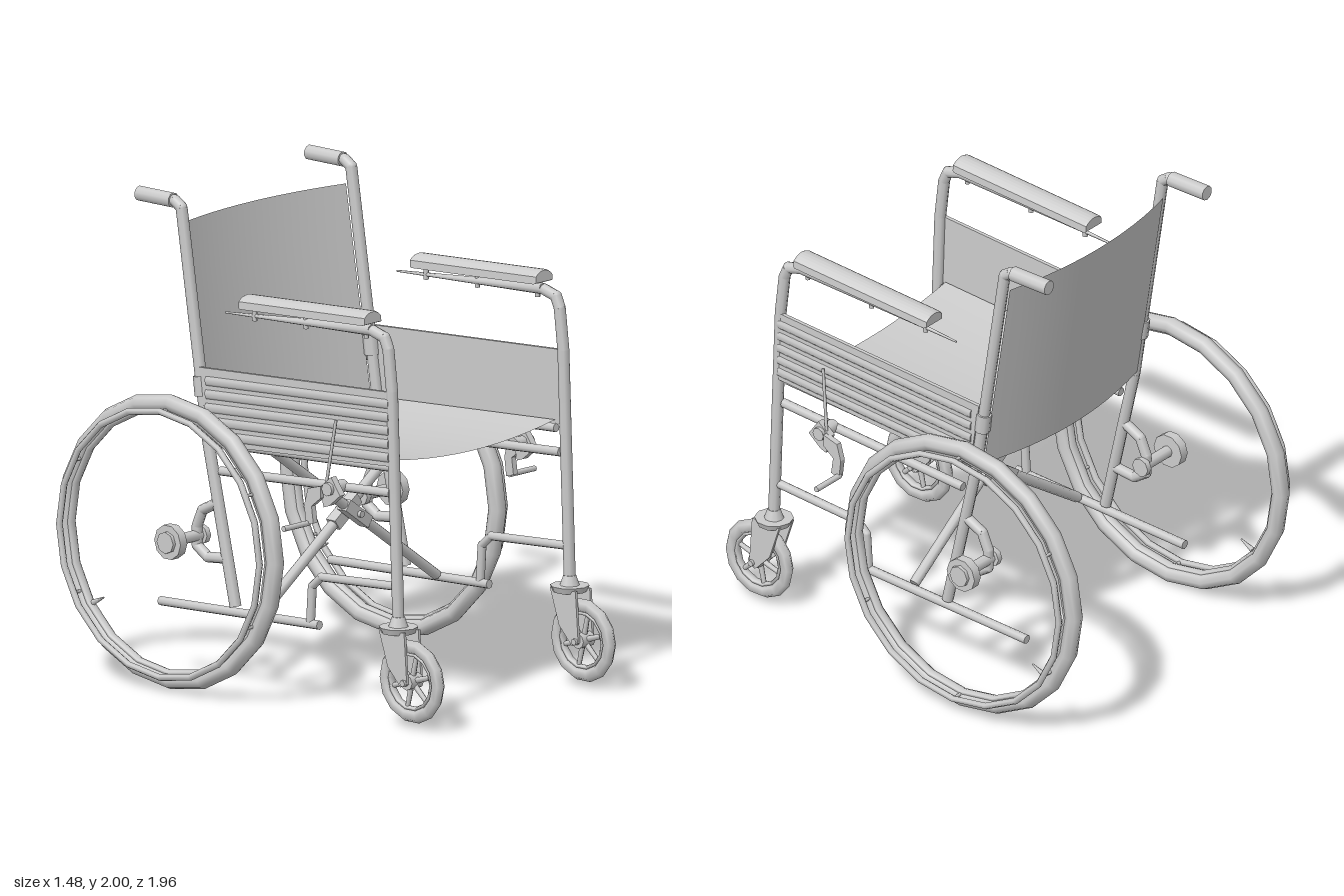
import * as THREE from 'three';

const grey = new THREE.MeshStandardMaterial({ color: 0xcccccc });
const cloth = new THREE.MeshStandardMaterial({ color: 0xcccccc, side: THREE.DoubleSide });
const V = (p) => new THREE.Vector3(...p);

function add(parent, name, geometry, material = grey) {
  const mesh = new THREE.Mesh(geometry, material);
  mesh.name = name;
  parent.add(mesh);
  return mesh;
}

// Round bar between two points
function bar(parent, name, a, b, r, r2 = r, sides = 8) {
  const p = V(a), q = V(b), d = q.clone().sub(p);
  const mesh = add(parent, name, new THREE.CylinderGeometry(r2, r, d.length(), sides));
  mesh.position.copy(p).add(q).multiplyScalar(0.5);
  mesh.quaternion.setFromUnitVectors(new THREE.Vector3(0, 1, 0), d.normalize());
  return mesh;
}

// Bent pipe lying in one side plane: [z, y] points at a fixed x
function pipe(parent, name, x, pts, r) {
  const group = new THREE.Group();
  group.name = name;
  parent.add(group);
  pts.forEach(([z, y], i) => {
    if (i === 0) return;
    bar(group, name + 'Section', [x, pts[i - 1][1], pts[i - 1][0]], [x, y, z], r);
    if (i < pts.length - 1) add(group, name + 'Bend', new THREE.SphereGeometry(r, 8, 6)).position.set(x, y, z);
  });
  return group;
}

// Flat plate cut from a [z, y] outline, centred on x
function plate(parent, name, x, t, outline) {
  const shape = new THREE.Shape(outline.map(([z, y]) => new THREE.Vector2(z, y)));
  const geo = new THREE.ExtrudeGeometry(shape, { depth: t, bevelEnabled: false });
  geo.rotateY(-Math.PI / 2).translate(x + t / 2, 0, 0);
  return add(parent, name, geo);
}

// Wheel ring around the x axis
function ring(parent, name, x, y, z, R, r, sides, segs, width = 1) {
  const geo = new THREE.TorusGeometry(R, r, sides, segs).scale(1, 1, width).rotateY(Math.PI / 2);
  add(parent, name, geo).position.set(x, y, z);
}

// Cloth sheet whose points follow a rule of u, v in 0..1
function sheet(parent, name, rule) {
  const geo = new THREE.PlaneGeometry(1, 1, 12, 4);
  const pos = geo.attributes.position;
  for (let i = 0; i < pos.count; i++) pos.setXYZ(i, ...rule(pos.getX(i) + 0.5, pos.getY(i) + 0.5));
  geo.computeVertexNormals();
  add(parent, name, geo, cloth);
}

function rearWheel(parent, s) {
  const g = new THREE.Group();
  g.name = 'rearWheel';
  parent.add(g);
  const y = 0.61, z = -0.37;
  ring(g, 'tyre', s * 0.655, y, z, 0.57, 0.036, 8, 20);
  ring(g, 'rim', s * 0.66, y, z, 0.54, 0.014, 6, 20, 1.5);
  ring(g, 'pushRim', s * 0.722, y, z, 0.547, 0.014, 6, 20);
  // Spacers between the rim and the push rim
  for (let i = 0; i < 6; i++) {
    const a = (i + 0.5) * Math.PI / 3, c = Math.cos(a) * 0.545, d = Math.sin(a) * 0.545;
    bar(g, 'spacer', [s * 0.66, y + d, z + c], [s * 0.722, y + d, z + c], 0.007, 0.007, 6);
  }
  bar(g, 'valve', [s * 0.66, 0.295, -0.79], [s * 0.66, 0.325, -0.73], 0.012, 0.003, 6);
  // Hub and axle
  bar(g, 'axle', [s * 0.47, y, z], [s * 0.69, y, z], 0.024);
  bar(g, 'hubFlange', [s * 0.635, y, z], [s * 0.675, y, z], 0.072, 0.072, 10);
  bar(g, 'hubCap', [s * 0.675, y, z], [s * 0.69, y, z], 0.045, 0.045, 8);
  bar(g, 'axleNut', [s * 0.46, y, z], [s * 0.485, y, z], 0.04, 0.04, 8);
}

function caster(parent, s) {
  const g = new THREE.Group();
  g.name = 'caster';
  parent.add(g);
  const x = s * 0.505, y = 0.195, z = 0.81;
  ring(g, 'casterTyre', x, y, z, 0.142, 0.03, 6, 14, 0.85);
  ring(g, 'casterRim', x, y, z, 0.113, 0.009, 6, 14, 2);
  bar(g, 'casterHub', [x - 0.035, y, z], [x + 0.035, y, z], 0.032);
  bar(g, 'casterAxle', [x - 0.06, y, z], [x + 0.06, y, z], 0.014, 0.014, 6);
  for (let i = 0; i < 6; i++) {
    const a = i * Math.PI / 3 + 0.3;
    bar(g, 'casterSpoke', [x, y, z], [x, y + Math.sin(a) * 0.115, z + Math.cos(a) * 0.115], 0.013, 0.01, 6);
  }
  // Fork with its crown and bearing
  for (const d of [-1, 1]) {
    plate(g, 'forkBlade', x + d * 0.042, 0.012,
      [[0.81, 0.4], [0.825, 0.19], [0.79, 0.175], [0.72, 0.25], [0.67, 0.4]]);
  }
  bar(g, 'forkCrown', [x, 0.385, 0.735], [x, 0.41, 0.735], 0.07, 0.08, 10);
  bar(g, 'forkBearing', [x, 0.405, 0.735], [x, 0.45, 0.735], 0.042, 0.026, 10);
}

function brake(parent, s) {
  const g = new THREE.Group();
  g.name = 'brake';
  parent.add(g);
  plate(g, 'brakePlate', s * 0.57, 0.03, [[0.49, 0.92], [0.44, 0.99], [0.38, 0.94], [0.4, 0.86], [0.43, 0.87]]);
  plate(g, 'brakeArm', s * 0.59, 0.025,
    [[0.4, 0.95], [0.33, 0.93], [0.31, 0.86], [0.32, 0.78], [0.36, 0.79], [0.35, 0.86], [0.4, 0.9]]);
  bar(g, 'brakeClamp', [s * 0.5, 0.94, 0.43], [s * 0.6, 0.94, 0.43], 0.028);
  bar(g, 'brakeShoe', [s * 0.59, 0.785, 0.325], [s * 0.74, 0.785, 0.325], 0.012);
  bar(g, 'brakeLever', [s * 0.575, 0.95, 0.405], [s * 0.555, 1.22, 0.44], 0.007, 0.007, 6);
}

function armrest(parent, s) {
  const g = new THREE.Group();
  g.name = 'armrest';
  parent.add(g);
  // Padded top, rounded in section and tilted slightly
  const section = new THREE.Shape();
  section.moveTo(-0.05, -0.02);
  section.lineTo(0.05, -0.02);
  section.lineTo(0.048, 0.005);
  section.quadraticCurveTo(0.03, 0.025, 0, 0.026);
  section.quadraticCurveTo(-0.03, 0.025, -0.048, 0.005);
  const pad = add(g, 'armPad', new THREE.ExtrudeGeometry(section,
    { depth: 0.67, bevelEnabled: true, bevelSize: 0.004, bevelThickness: 0.01, bevelSegments: 1, curveSegments: 4 })
    .translate(0, 0, -0.335));
  pad.position.set(s * 0.505, 1.636, 0.25);
  pad.rotation.x = -0.055;
  bar(g, 'armRail', [s * 0.505, 1.605, 0.59], [s * 0.505, 1.553, -0.21], 0.024, 0.004);
  for (const z of [0.56, 0.23, -0.05]) {
    bar(g, 'padScrew', [s * 0.505, 1.545 + z * 0.04, z], [s * 0.505, 1.62, z], 0.011, 0.011, 6);
  }
}

function sidePanel(parent, s) {
  const g = new THREE.Group();
  g.name = 'sidePanel';
  parent.add(g);
  plate(g, 'panel', s * 0.515, 0.016, [[0.715, 1.37], [0.715, 1.065], [-0.29, 1.0], [-0.34, 1.31]]);
  // Long pressed ribs
  for (let i = 0; i < 5; i++) {
    const y = 1.32 - i * 0.055;
    const rib = bar(g, 'panelRib', [s * 0.522, y, 0.7], [s * 0.522, y - 0.06, -0.3], 0.02, 0.02, 6);
    rib.scale.x = 0.5;
  }
}

function sideFrame(parent, s) {
  const g = new THREE.Group();
  g.name = s > 0 ? 'leftSide' : 'rightSide';
  parent.add(g);
  const x = s * 0.5;
  // Tubes of the frame
  pipe(g, 'frontPost', s * 0.505, [[0.735, 0.43], [0.7, 1.37], [0.68, 1.54], [0.66, 1.585], [0.59, 1.605]], 0.024);
  pipe(g, 'backPost', x, [[-0.16, 0.35], [-0.31, 1.01], [-0.35, 1.27], [-0.455, 1.945], [-0.49, 1.968], [-0.55, 1.968]], 0.024);
  bar(g, 'handGrip', [x, 1.968, -0.5], [x, 1.968, -0.685], 0.031, 0.031, 10);
  bar(g, 'lowerRail', [x, 0.345, 0.3], [x, 0.31, -0.57], 0.019);
  bar(g, 'upperRail', [x, 0.95, 0.69], [x, 0.895, -0.24], 0.019);
  bar(g, 'seatRail', [s * 0.485, 1.05, 0.68], [s * 0.485, 1.0, -0.28], 0.018);
  pipe(g, 'frontStay', x, [[0.72, 0.57], [0.31, 0.545], [0.26, 0.5], [0.25, 0.35]], 0.018);
  // Axle bracket behind the back post
  pipe(g, 'axleBracket', s * 0.5, [[-0.26, 0.76], [-0.34, 0.72], [-0.37, 0.65], [-0.37, 0.57], [-0.31, 0.53], [-0.21, 0.54]], 0.022);
  // Clips fixing the back cloth to the post
  bar(g, 'backClip', [x, 1.27, -0.35], [x, 1.19, -0.34], 0.032);
  armrest(g, s);
  sidePanel(g, s);
  brake(g, s);
  rearWheel(g, s);
  caster(g, s);
}

export function createModel() {
  const model = new THREE.Group();
  model.name = 'wheelchair';
  for (const s of [-1, 1]) sideFrame(model, s);

  // Sagging seat and bowed back
  const bow = (u) => 1 - (2 * u - 1) ** 2;
  sheet(model, 'seat', (u, v) => [(u - 0.5) * 0.99, 1.08 - 0.055 * v - 0.045 * bow(u), 0.665 - 0.93 * v]);
  sheet(model, 'backrest', (u, v) => [(u - 0.5) * 0.97, 1.03 + 0.845 * v - 0.01 * bow(u) * (1 - v),
    -0.335 - 0.135 * v - 0.06 * bow(u)]);

  // Folding cross brace with its pivot
  for (const s of [-1, 1]) {
    const z = s > 0 ? 0.03 : -0.03;
    bar(model, 'crossBrace', [-s * 0.48, 1.015, z], [s * 0.48, 0.345, z], 0.022);
    const sleeve = add(model, 'braceSleeve', new THREE.BoxGeometry(0.16, 0.05, 0.05));
    sleeve.position.set(0, 0.68, z);
    sleeve.rotation.z = -s * 0.61;
  }
  bar(model, 'bracePivot', [0, 0.68, -0.07], [0, 0.68, 0.07], 0.014);
  return model;
}
